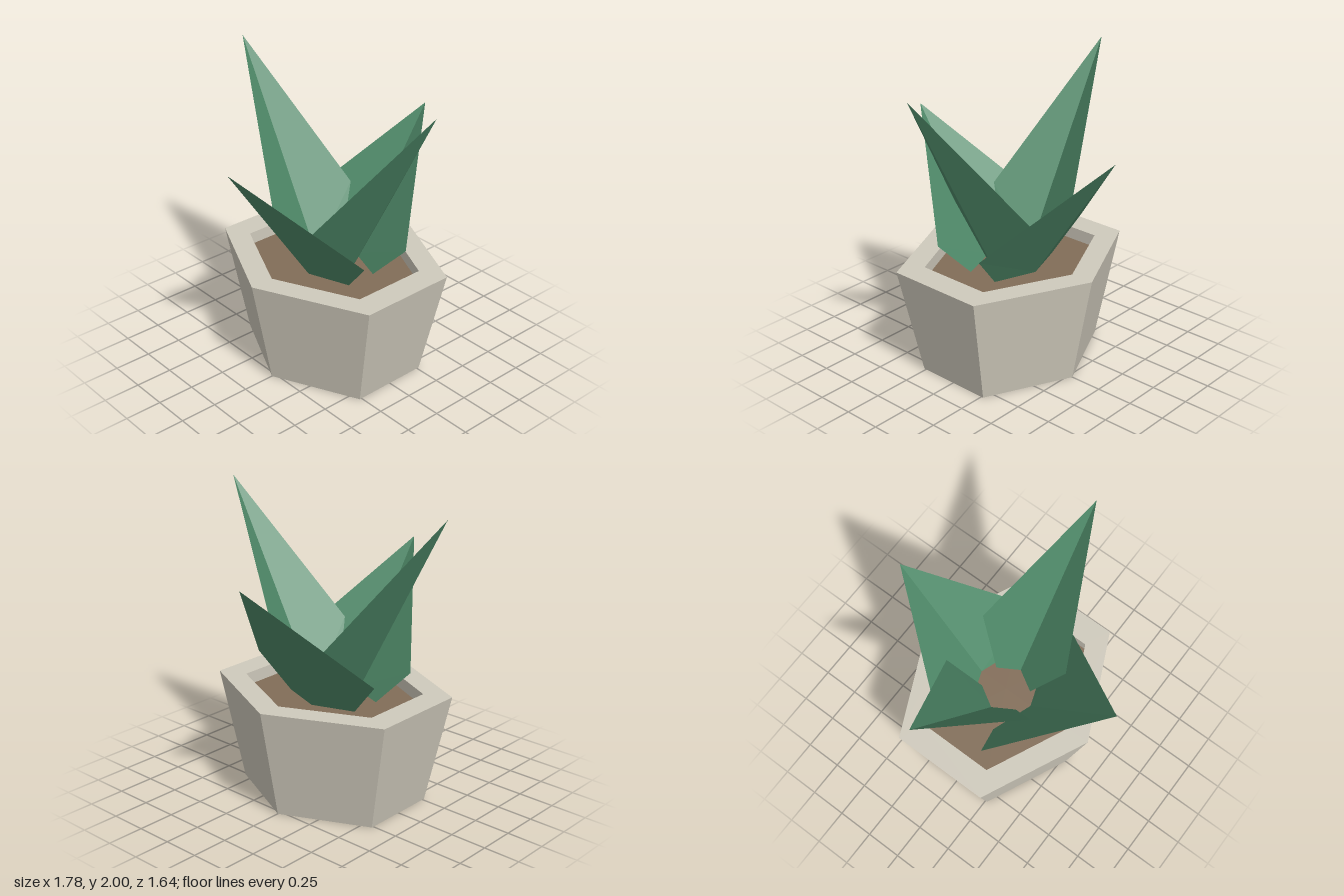
import * as THREE from 'three';

const soilY = 0.66;
const stretch = 1.241; // the hexagonal pot is wider than deep

function makeMaterial(name, color, side = THREE.FrontSide) {
  const material = new THREE.MeshStandardMaterial({ color, side, flatShading: true });
  material.name = name;
  return material;
}

// A leaf leaning towards +z, folded along its midrib.
// Points: tip and root on the midrib, shoulder and foot on the right edge.
function leafGeometry(tip, shoulder, foot, root) {
  const mirror = ([x, y, z]) => [-x, y, z];
  const points = [tip, root, shoulder, foot, mirror(shoulder), mirror(foot)];
  const geometry = new THREE.BufferGeometry();
  geometry.setAttribute('position', new THREE.Float32BufferAttribute(points.flat(), 3));
  geometry.setIndex([0, 1, 2, 1, 3, 2, 0, 4, 1, 1, 4, 5]);
  const flat = geometry.toNonIndexed();
  flat.computeVertexNormals();
  return flat;
}

export function createModel() {
  const model = new THREE.Group();
  model.name = 'pottedSucculent';
  const potMaterial = makeMaterial('stone', 0xcfcabc);
  const soilMaterial = makeMaterial('soil', 0x826d58);
  const leafMaterial = makeMaterial('leafGreen', 0x4f8a69, THREE.DoubleSide);

  const add = (name, geometry, material) => {
    const mesh = new THREE.Mesh(geometry, material);
    mesh.name = name;
    model.add(mesh);
    return mesh;
  };

  // Tapered six-sided pot with a thick flat rim
  const profile = [[0, 0], [0.53, 0], [0.67, 0.745], [0.51, 0.745], [0.51, soilY - 0.02]]
    .map(([r, y]) => new THREE.Vector2(r, y));
  const pot = new THREE.LatheGeometry(profile, 6).scale(stretch, 1, 1);
  add('pot', pot, potMaterial);

  // Soil surface set below the rim
  const soil = new THREE.CircleGeometry(0.51, 6).rotateZ(Math.PI / 2).rotateX(-Math.PI / 2);
  soil.scale(stretch, 1, 1).translate(0, soilY, 0);
  add('soil', soil, soilMaterial);

  // Two broad leaves front and back, two tall leaves at the sides
  const broad = leafGeometry(
    [0, 1.575, 0.82], [0.502, 0.9, 0.177], [0.28, soilY, 0.105], [0, soilY, 0.205]);
  const tall = leafGeometry(
    [0, 2, 0.89], [0.333, 1.08, 0.192], [0.142, soilY, 0.08], [0, soilY, 0.165]);
  ['frontLeaf', 'leftLeaf', 'backLeaf', 'rightLeaf'].forEach((name, i) => {
    add(name, i % 2 ? tall : broad, leafMaterial).rotation.y = i * Math.PI / 2;
  });

  return model;
}
